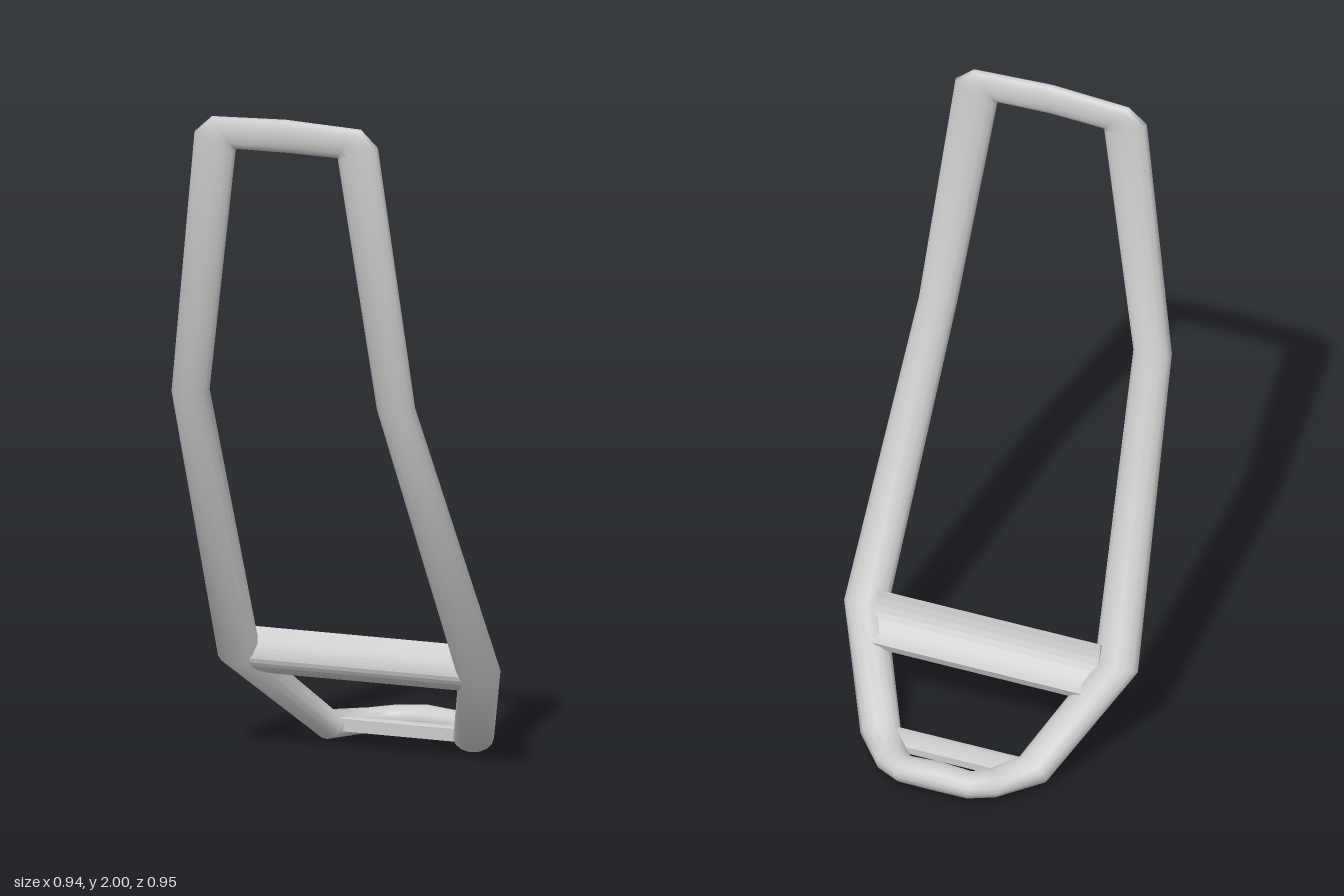
import * as THREE from 'three';

const grey = () => new THREE.MeshStandardMaterial({ color: 0xcccccc, side: THREE.DoubleSide });
const V = (a) => new THREE.Vector3(...a);
const SIDES = 14;

// Stations of one half: outer edge, inner edge, half thickness
const HALF = [
  [[0, 2.0, 0.452], [0, 1.9, 0.45], 0.024],
  [[0.25, 1.99, 0.448], [0.17, 1.897, 0.445], 0.022],
  [[0.308, 1.94, 0.45], [0.172, 1.89, 0.446], 0.025],
  [[0.405, 1.15, 0.405], [0.285, 1.15, 0.405], 0.045],
  [[0.472, 0.29, -0.015], [0.335, 0.285, -0.012], 0.05],
  [[0.298, 0.045, -0.305], [0.19, 0.045, -0.25], 0.045],
  [[0.195, 0.045, -0.43], [0.13, 0.05, -0.345], 0.037],
  [[0.115, 0.05, -0.475], [0.095, 0.055, -0.385], 0.038],
  [[0, 0.055, -0.48], [0, 0.06, -0.385], 0.042],
];

// Closed tube with elliptical sections spanning each outer/inner pair
function frameGeometry() {
  const flip = ([x, y, z]) => [-x, y, z];
  const mirrored = HALF.slice(1, -1).reverse().map(([o, i, b]) => [flip(o), flip(i), b]);
  const rings = [...HALF, ...mirrored].map(([o, i, b]) => ({
    c: V(o).add(V(i)).multiplyScalar(0.5),
    w: V(o).sub(V(i)).multiplyScalar(0.5),
    b,
  }));
  const N = rings.length, pos = [], idx = [];
  rings.forEach(({ c, w, b }, k) => {
    const prev = rings[(k + N - 1) % N].c, next = rings[(k + 1) % N].c;
    const t = c.clone().sub(prev).normalize().add(next.clone().sub(c).normalize());
    const n = t.cross(w).normalize().multiplyScalar(b);
    for (let s = 0; s < SIDES; s++) {
      const a = (s / SIDES) * Math.PI * 2;
      const p = c.clone().addScaledVector(w, Math.cos(a)).addScaledVector(n, Math.sin(a));
      pos.push(p.x, p.y, p.z);
      const k2 = (k + 1) % N, s2 = (s + 1) % SIDES;
      const A = k * SIDES + s, B = k * SIDES + s2, C = k2 * SIDES + s, D = k2 * SIDES + s2;
      idx.push(A, B, C, B, D, C);
    }
  });
  const g = new THREE.BufferGeometry();
  g.setAttribute('position', new THREE.Float32BufferAttribute(pos, 3));
  g.setIndex(idx);
  g.computeVertexNormals();
  return g;
}

// Cross piece: a [z, y] profile extruded across x
function crossPiece(name, draw, halfWidth) {
  const shape = new THREE.Shape();
  draw(shape);
  const g = new THREE.ExtrudeGeometry(shape, { depth: halfWidth * 2, bevelEnabled: false, curveSegments: 8 });
  g.translate(0, 0, -halfWidth);
  g.rotateY(-Math.PI / 2); // shape x becomes z
  const mesh = new THREE.Mesh(g, grey());
  mesh.name = name;
  return mesh;
}

export function createModel() {
  const group = new THREE.Group();
  group.name = 'bentFrame';

  const frame = new THREE.Mesh(frameGeometry(), grey());
  frame.name = 'tubeFrame';
  group.add(frame);

  // Curved brace between the lower knees
  group.add(crossPiece('kneeBrace', (s) => {
    s.moveTo(-0.03, 0.37);
    s.quadraticCurveTo(-0.045, 0.27, -0.125, 0.245);
    s.lineTo(-0.115, 0.22);
    s.quadraticCurveTo(0.01, 0.225, 0.018, 0.28);
    s.quadraticCurveTo(0.015, 0.32, -0.03, 0.37);
  }, 0.36));

  // Small brace at the start of the base loop
  group.add(crossPiece('baseBrace', (s) => {
    s.moveTo(-0.262, 0.068);
    s.quadraticCurveTo(-0.29, 0.078, -0.34, 0.062);
    s.lineTo(-0.34, 0.04);
    s.quadraticCurveTo(-0.3, 0.02, -0.262, 0.03);
    s.closePath();
  }, 0.2));

  return group;
}
